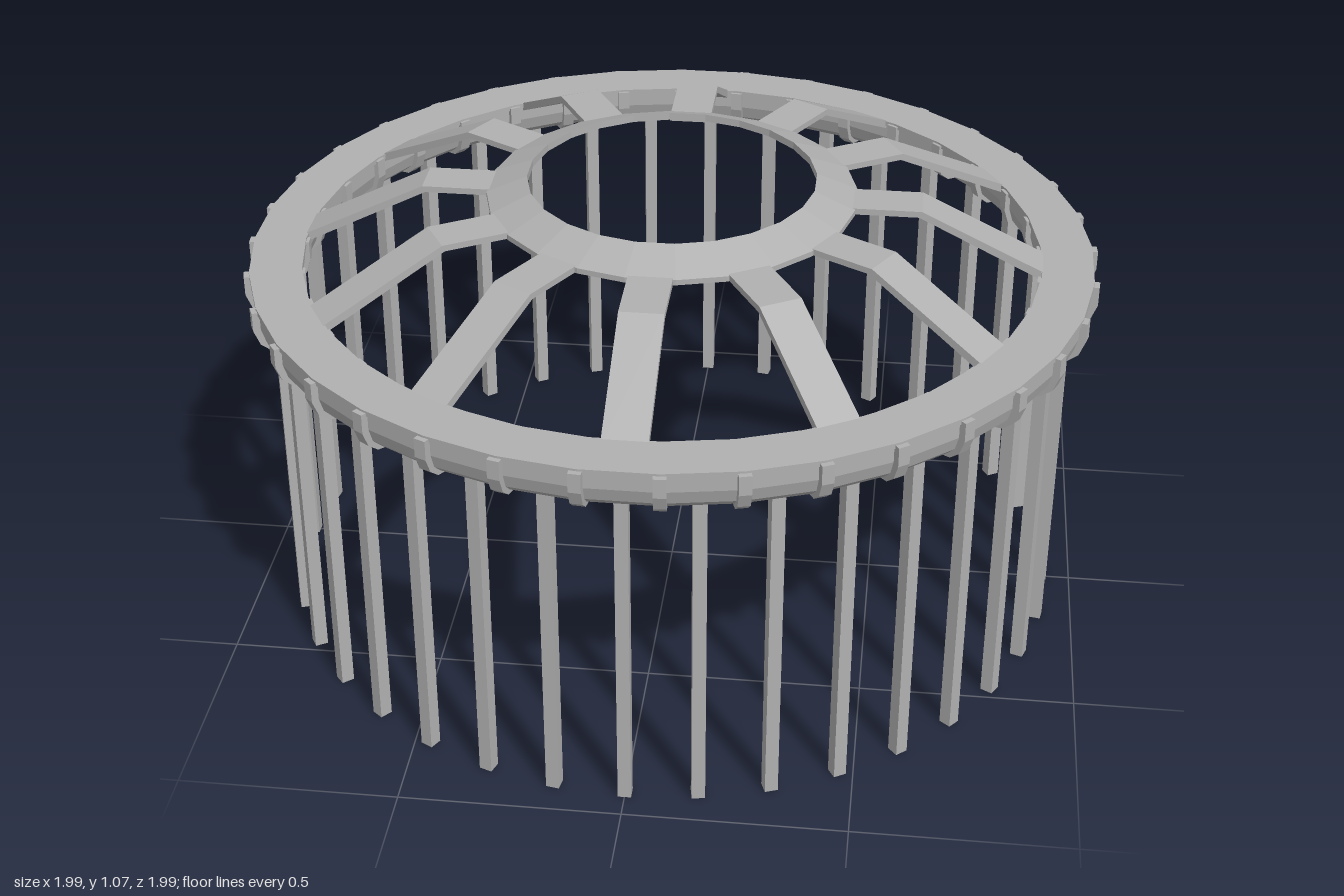
import * as THREE from 'three';

const SIDES = 36;
const SPOKES = 12;
const STEP = (Math.PI * 2) / SIDES;

// Ring swept from a closed (radius, y) profile listed anticlockwise
function ring(name, profile, sides, material) {
  const pts = [...profile, profile[0]].map(([r, y]) => new THREE.Vector2(r, y));
  const mesh = new THREE.Mesh(new THREE.LatheGeometry(pts, sides, Math.PI / sides), material);
  mesh.name = name;
  return mesh;
}

// Plate cut to a (radius, y) outline and given a width across the radius
function radialPlate(outline, width) {
  const shape = new THREE.Shape(outline.map(([r, y]) => new THREE.Vector2(r, y)));
  const geo = new THREE.ExtrudeGeometry(shape, { depth: width, bevelEnabled: false });
  return geo.translate(0, 0, -width / 2);
}

// Copies of one part spaced evenly around the axis
function around(name, geo, count, offset, material) {
  const group = new THREE.Group();
  group.name = name + 's';
  for (let i = 0; i < count; i++) {
    const mesh = new THREE.Mesh(geo, material);
    mesh.name = name;
    mesh.rotation.y = offset + (i * Math.PI * 2) / count;
    group.add(mesh);
  }
  return group;
}

export function createModel() {
  const steel = new THREE.MeshStandardMaterial({ color: 0xb0b0b0, flatShading: true });
  steel.name = 'grey steel';
  const model = new THREE.Group();
  model.name = 'roundCanopyFrame';

  // Rim: flat top plate over a rounded trough
  model.add(ring('rimTopPlate', [
    [0.866, 0.88], [0.988, 0.88], [0.988, 0.893], [0.866, 0.893],
  ], SIDES, steel));
  model.add(ring('rimTube', [
    [0.872, 0.88], [0.872, 0.845], [0.882, 0.812], [0.905, 0.793], [0.93, 0.788],
    [0.955, 0.793], [0.974, 0.812], [0.984, 0.845], [0.984, 0.88],
  ], SIDES, steel));

  // Clamp bands over the joints of the rim
  const band = radialPlate([
    [0.858, 0.888], [0.858, 0.842], [0.87, 0.806], [0.897, 0.784], [0.928, 0.779],
    [0.96, 0.784], [0.986, 0.806], [1.0, 0.842], [1.0, 0.888],
  ], 0.028);
  model.add(around('clampBand', band, SIDES, STEP / 2, steel));

  // Posts from the ground into the rim
  const post = new THREE.BoxGeometry(0.03, 0.8, 0.03).translate(0.928, 0.4, 0);
  model.add(around('post', post, SIDES, 0, steel));

  // Bent spokes: level near the hub, then sloping to the rim
  const spoke = radialPlate([
    [0.4, 1.018], [0.576, 1.018], [0.866, 0.872], [0.89, 0.872], [0.89, 0.882],
    [0.582, 1.033], [0.4, 1.033],
  ], 0.1);
  model.add(around('spoke', spoke, SPOKES, 0, steel));

  // Sloped collar around the central opening
  model.add(ring('hubCollar', [
    [0.337, 1.052], [0.41, 1.018], [0.432, 1.018], [0.432, 1.031], [0.337, 1.07],
  ], 24, steel));

  return model;
}
